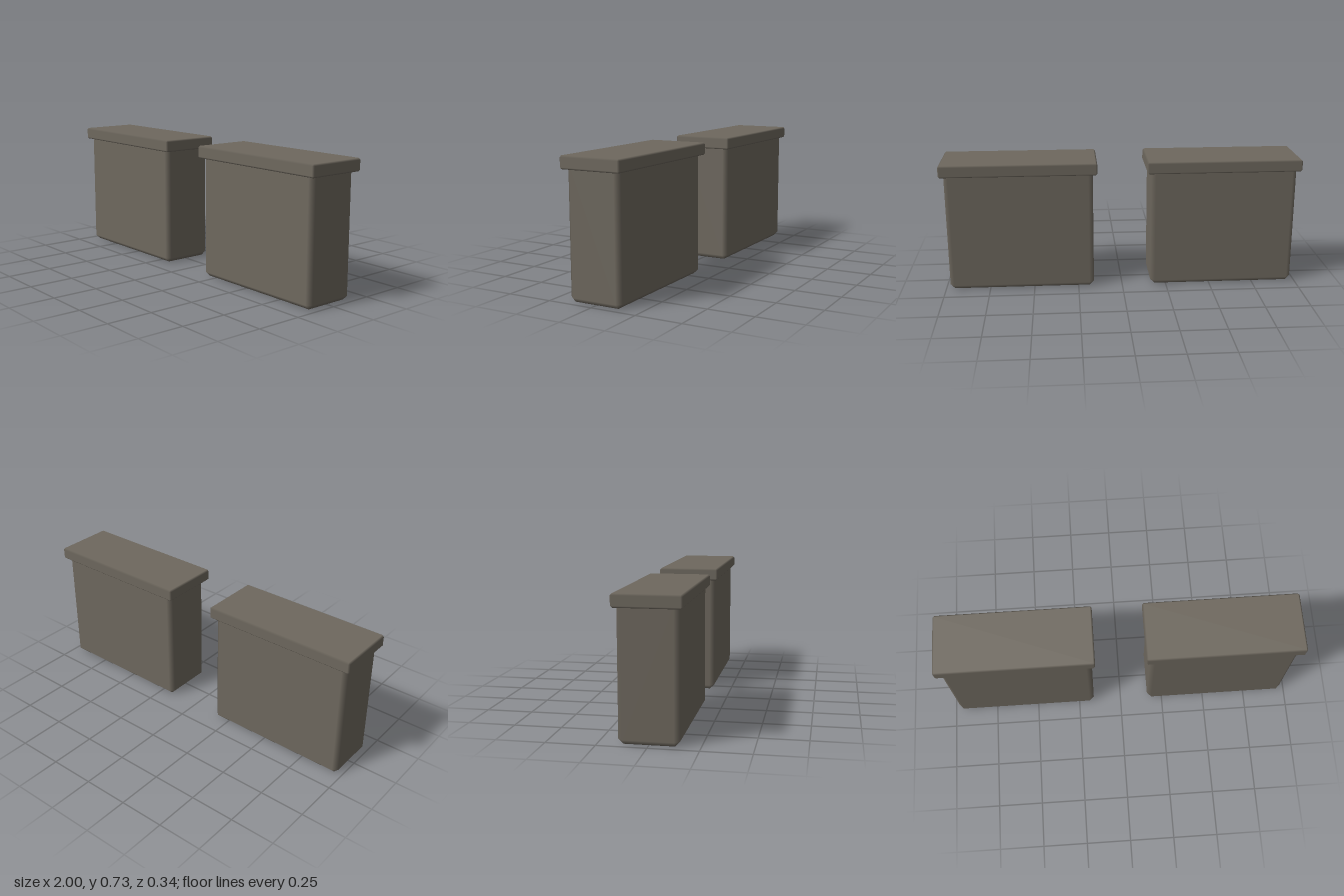
import * as THREE from 'three';

// Box with one-step chamfers: each corner has three vertices, one per adjoining
// face, carrying that face's normal so shading blends across the chamfer.
function chamferedBox(w, h, d, c) {
  const half = [w / 2, h / 2, d / 2];
  const positions = [], normals = [], index = [];
  const sign = (corner, axis) => ((corner >> axis) & 1 ? 1 : -1);
  for (let corner = 0; corner < 8; corner++) {
    for (let axis = 0; axis < 3; axis++) {
      for (let k = 0; k < 3; k++) {
        positions.push(sign(corner, k) * (half[k] - (k === axis ? 0 : c)));
        normals.push(k === axis ? sign(corner, k) : 0);
      }
    }
  }
  const point = (i) => new THREE.Vector3().fromArray(positions, i * 3);
  const normal = (i) => new THREE.Vector3().fromArray(normals, i * 3);
  // Adds a triangle wound to face outward
  const tri = (a, b, e) => {
    const n = point(b).sub(point(a)).cross(point(e).sub(point(a)));
    const out = normal(a).add(normal(b)).add(normal(e));
    if (n.dot(out) > 0) index.push(a, b, e);
    else index.push(a, e, b);
  };
  const quad = (a, b, e, f) => { tri(a, b, e); tri(a, e, f); };

  for (let axis = 0; axis < 3; axis++) {
    const u = (axis + 1) % 3, v = (axis + 2) % 3;
    const A = 1 << axis, U = 1 << u, V = 1 << v;
    // Two flat faces across this axis
    for (const s of [0, A]) {
      quad(s * 3 + axis, (s + U) * 3 + axis, (s + U + V) * 3 + axis, (s + V) * 3 + axis);
    }
    // Four chamfers running along this axis
    for (const s of [0, U, V, U + V]) {
      quad(s * 3 + u, (s + A) * 3 + u, (s + A) * 3 + v, s * 3 + v);
    }
  }
  // Corner triangles
  for (let corner = 0; corner < 8; corner++) tri(corner * 3, corner * 3 + 1, corner * 3 + 2);

  const geometry = new THREE.BufferGeometry();
  geometry.setAttribute('position', new THREE.Float32BufferAttribute(positions, 3));
  geometry.setAttribute('normal', new THREE.Float32BufferAttribute(normals, 3));
  geometry.setIndex(index);
  return geometry;
}

export function createModel() {
  const model = new THREE.Group();
  model.name = 'boxPair';
  const material = new THREE.MeshStandardMaterial({ color: 0x6e685e });

  // Body reaches up into the lid; the lid overhangs on all sides
  const bodyGeometry = chamferedBox(0.814, 0.7, 0.3, 0.025);
  const lidGeometry = chamferedBox(0.862, 0.067, 0.34, 0.009);

  for (const [name, side] of [['left', 1], ['right', -1]]) {
    const box = new THREE.Group();
    box.name = name + 'Box';
    box.position.x = side * 0.569;

    const body = new THREE.Mesh(bodyGeometry, material);
    body.name = name + 'Body';
    body.position.y = 0.35;

    const lid = new THREE.Mesh(lidGeometry, material);
    lid.name = name + 'Lid';
    lid.position.y = 0.694;

    box.add(body, lid);
    model.add(box);
  }
  return model;
}
